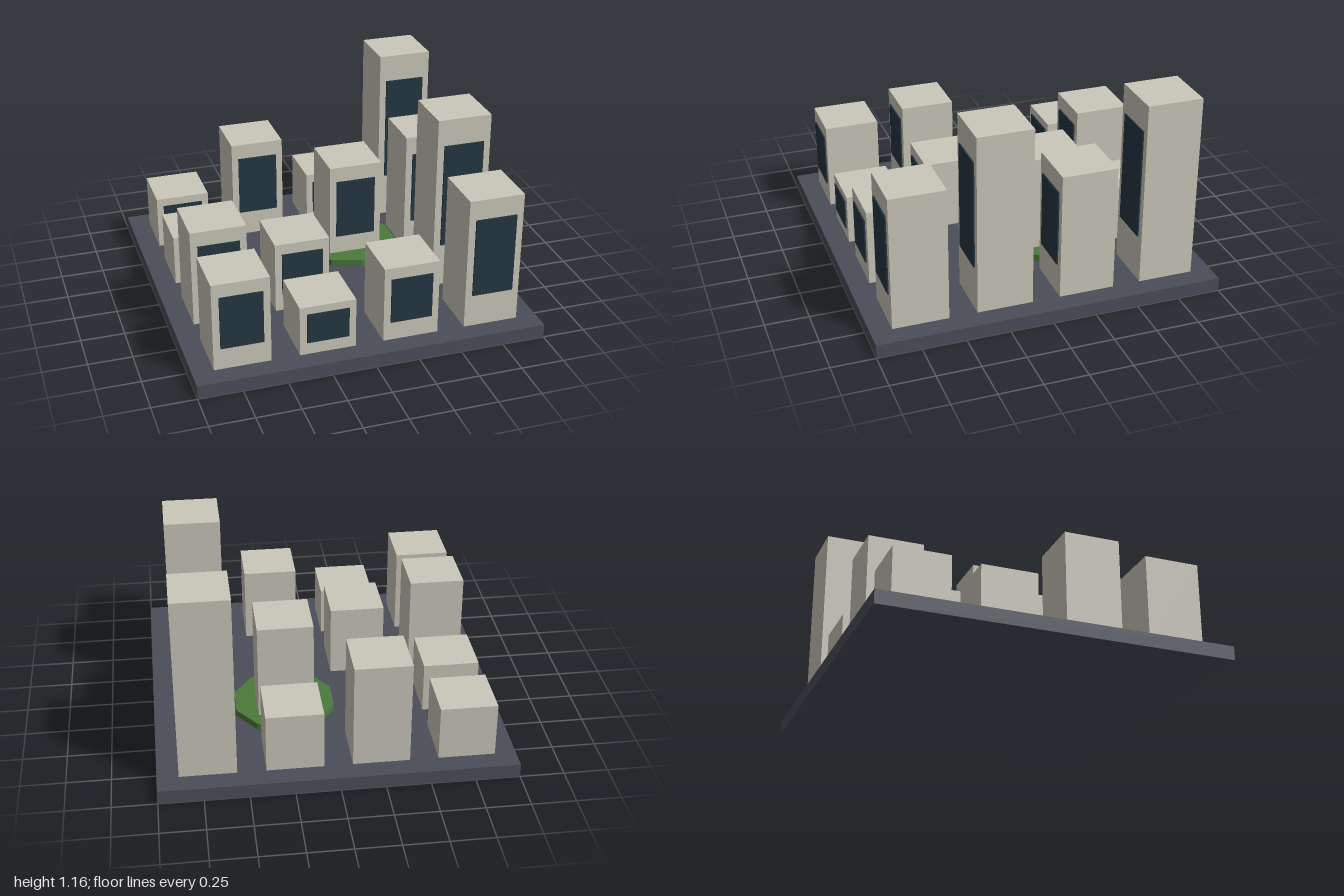
import * as THREE from 'three';

const paint = (name, color) => {
  const m = new THREE.MeshStandardMaterial({ color });
  m.name = name;
  return m;
};

export function createModel() {
  const model = new THREE.Group();
  model.name = 'cityBlock';
  const asphalt = paint('asphalt grey', 0x4a4e58);
  const concrete = paint('warm concrete', 0xcac7ba);
  const glass = paint('dark blue glass', 0x233642);
  const grass = paint('park green', 0x4a7a3a);

  const add = (parent, name, geometry, material, x, y, z) => {
    const mesh = new THREE.Mesh(geometry, material);
    mesh.name = name;
    mesh.position.set(x, y, z);
    parent.add(mesh);
  };

  // Ground slab
  const ground = 0.08;
  add(model, 'groundSlab', new THREE.BoxGeometry(2, ground, 2), asphalt, 0, ground / 2, 0);

  // Ten-sided park lawn
  add(model, 'parkLawn', new THREE.CylinderGeometry(0.3, 0.3, 0.04, 10).toNonIndexed(), grass, 0.24, ground + 0.02, -0.24);
  const lawn = model.getObjectByName('parkLawn').geometry;
  lawn.computeVertexNormals();

  // Roof heights, rows from back to front, columns from -x to +x (0 = empty lot)
  const roofs = [
    [0.4, 0.695, 0.425, 1.165],
    [0.38, 0, 0.69, 0.825],
    [0.66, 0.505, 0, 1.137],
    [0.6, 0.375, 0.53, 0.865],
  ];
  const size = 0.32;
  roofs.forEach((row, r) => row.forEach((roof, c) => {
    if (!roof) return;
    const h = roof - ground;
    const tower = new THREE.Group();
    tower.name = `building${r + 1}${c + 1}`;
    tower.position.set(-0.72 + c * 0.48, ground, -0.72 + r * 0.48);
    add(tower, 'walls', new THREE.BoxGeometry(size, h, size), concrete, 0, h / 2, 0);
    // Front window panel
    add(tower, 'window', new THREE.BoxGeometry(0.24, h * 0.6, 0.009), glass, 0, h * 0.55, size / 2 + 0.0035);
    model.add(tower);
  }));

  return model;
}
